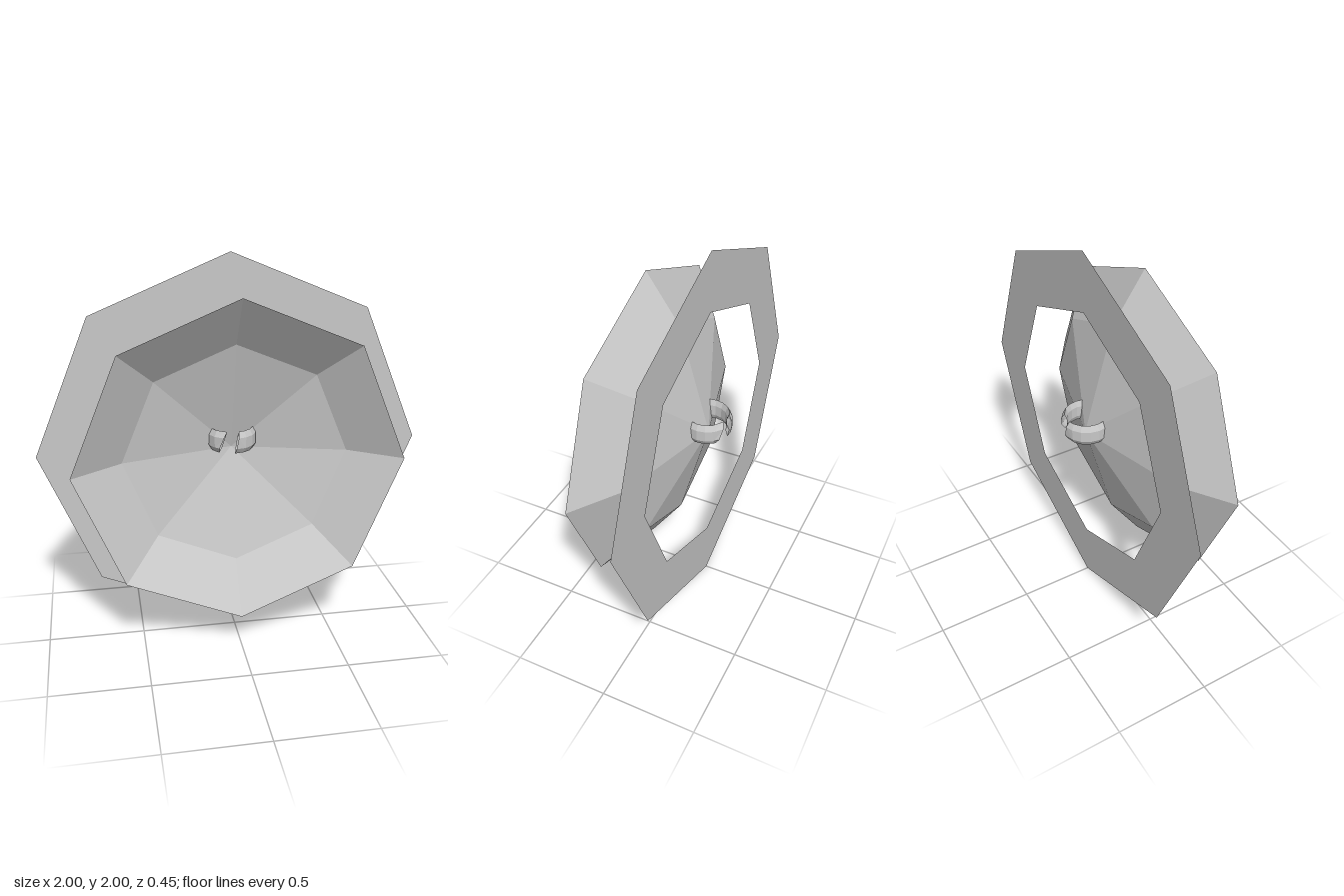
import * as THREE from 'three';

const grey = new THREE.MeshStandardMaterial({ color: 0xc8c8c8, flatShading: true, side: THREE.DoubleSide });
grey.name = 'plain grey';

// Sweep a closed (radius, height) section around y; a is measured from -z towards +x.
// slant shears the end at angle "from" so that its top reaches further than its bottom.
function arcBand(section, from, to, steps, slant) {
  const pos = [], idx = [], n = section.length;
  for (let i = 0; i <= steps; i++) {
    for (const [r, y] of section) {
      const a = from + (to - from) * i / steps + (i === 0 ? slant * y / 0.06 : 0);
      pos.push(r * Math.sin(a), y, -r * Math.cos(a));
    }
  }
  for (let i = 0; i < steps; i++) {
    for (let j = 0; j < n; j++) {
      const a = i * n + j, b = i * n + (j + 1) % n;
      idx.push(a, b, a + n, b, b + n, a + n);
    }
  }
  const g = new THREE.BufferGeometry();
  g.setAttribute('position', new THREE.Float32BufferAttribute(pos, 3));
  g.setIndex(idx);
  g.computeVertexNormals();
  return g;
}

export function createModel() {
  const model = new THREE.Group();
  const add = (name, geometry, y, z, parent = model) => {
    const mesh = new THREE.Mesh(geometry, grey);
    mesh.name = name;
    mesh.position.set(0, y, z);
    parent.add(mesh);
    return mesh;
  };

  // Flat octagonal ring level with the tip of the dish
  add('flatRing', new THREE.RingGeometry(0.69, 1, 8), 1, -0.107);

  // Faceted dish opening towards the front
  const profile = [[0, -0.107], [0.577, 0.052], [0.83, 0.225]].map(p => new THREE.Vector2(...p));
  const dish = new THREE.LatheGeometry(profile, 8);
  dish.rotateX(Math.PI / 2);
  add('dish', dish, 1, 0);

  // Broken hoop through the dish tip: the same two arcs behind and, turned round, in front
  const section = [[0.112, -0.058], [0.128, -0.03], [0.128, 0.027], [0.112, 0.058], [0.1, 0.027], [0.1, -0.03]];
  const hoop = new THREE.Group();
  hoop.name = 'hoop';
  hoop.position.set(0, 1.06, -0.098);
  for (const turn of [0, Math.PI]) {
    const half = new THREE.Group();
    half.name = turn ? 'frontHalf' : 'backHalf';
    half.rotation.y = turn;
    add('longArc', arcBand(section, -0.1, -Math.PI / 2, 4, -0.1), 0, 0, half);
    add('shortArc', arcBand(section, 0.55, Math.PI / 2, 3, -0.2), 0, 0, half);
    hoop.add(half);
  }
  model.add(hoop);
  return model;
}
